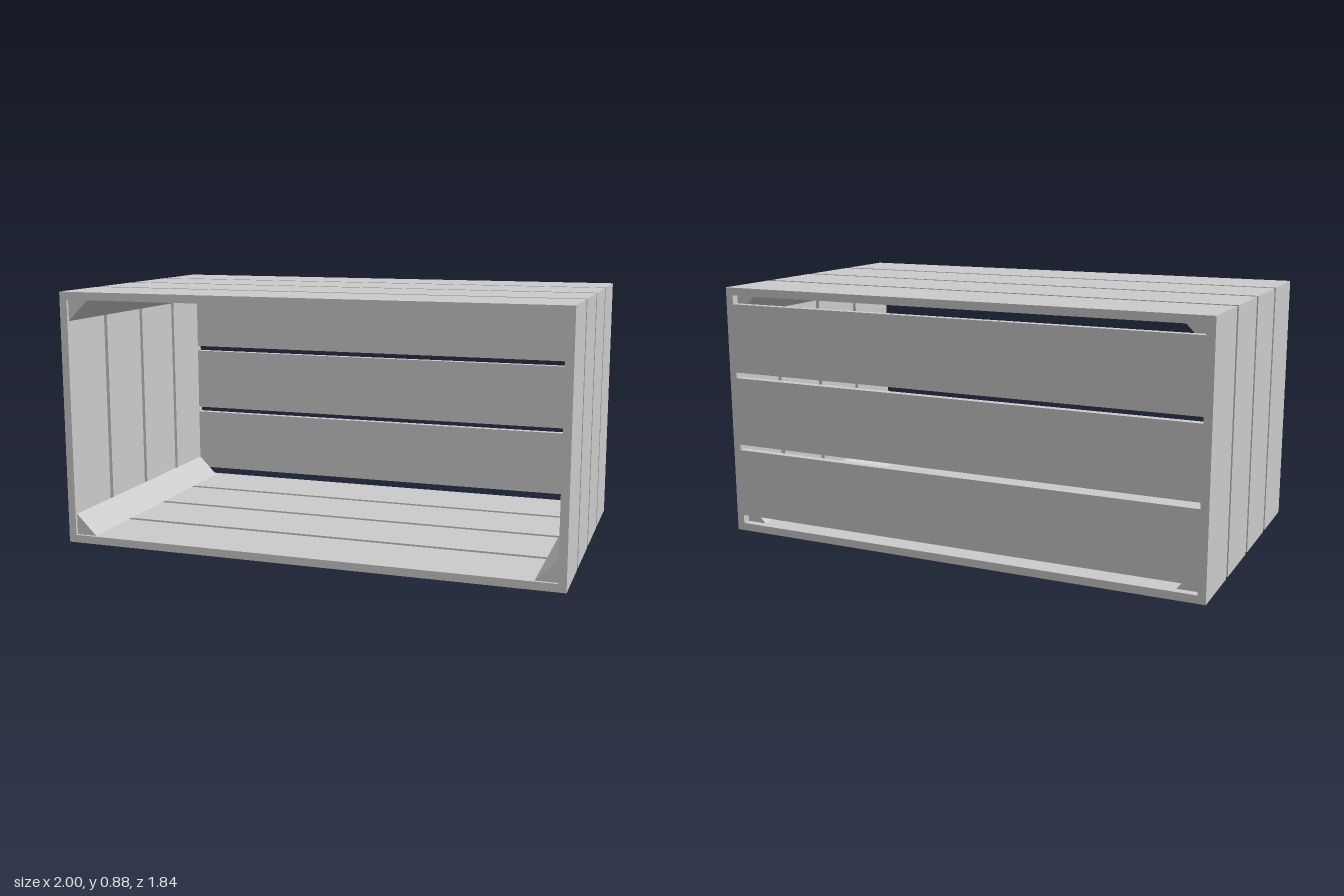
import * as THREE from 'three';

const L = 1.73, H = 0.875, W = 1.02;      // crate length, height, depth
const T = 0.027, B = 0.24, PITCH = 0.26;  // board thickness, board width, board spacing
const LEG = 0.073;                        // corner brace leg

export function createModel() {
  const model = new THREE.Group();
  model.name = 'crate';
  const mat = new THREE.MeshStandardMaterial({ color: 0xcccccc, flatShading: true });

  const add = (name, geometry, x, y, z) => {
    const mesh = new THREE.Mesh(geometry, mat);
    mesh.name = name;
    mesh.position.set(x, y, z);
    model.add(mesh);
    return mesh;
  };

  // Four boards on each end, the top and the bottom
  for (let i = 0; i < 4; i++) {
    const z = (i - 1.5) * PITCH;
    for (const s of [-1, 1]) {
      add('endBoard', new THREE.BoxGeometry(T, H, B), s * (L - T) / 2, H / 2, z);
      add(s > 0 ? 'topBoard' : 'bottomBoard', new THREE.BoxGeometry(L - 2 * T, T, B),
        0, H / 2 + s * (H - T) / 2, z);
    }
  }

  // Three boards across the back; the opposite side is open
  for (let i = -1; i <= 1; i++) {
    add('backBoard', new THREE.BoxGeometry(L - 2 * T, B, T), 0, H / 2 + i * PITCH, -(W - T) / 2);
  }

  // Triangular braces along the four inside corners
  const triangle = new THREE.Shape([
    new THREE.Vector2(0, 0), new THREE.Vector2(LEG, 0), new THREE.Vector2(0, LEG),
  ]);
  const brace = new THREE.ExtrudeGeometry(triangle, { depth: W - T - 0.01, bevelEnabled: false });
  const corners = [[-1, -1], [1, -1], [1, 1], [-1, 1]];
  corners.forEach(([sx, sy], i) => {
    const mesh = add('cornerBrace', brace, sx * (L / 2 - T), H / 2 + sy * (H / 2 - T), -W / 2 + T);
    mesh.rotation.z = i * Math.PI / 2;
  });

  // The crate stands turned about the vertical axis
  model.rotation.y = -THREE.MathUtils.degToRad(35.8);
  const root = new THREE.Group();
  root.name = 'woodenCrate';
  root.add(model);
  return root;
}
